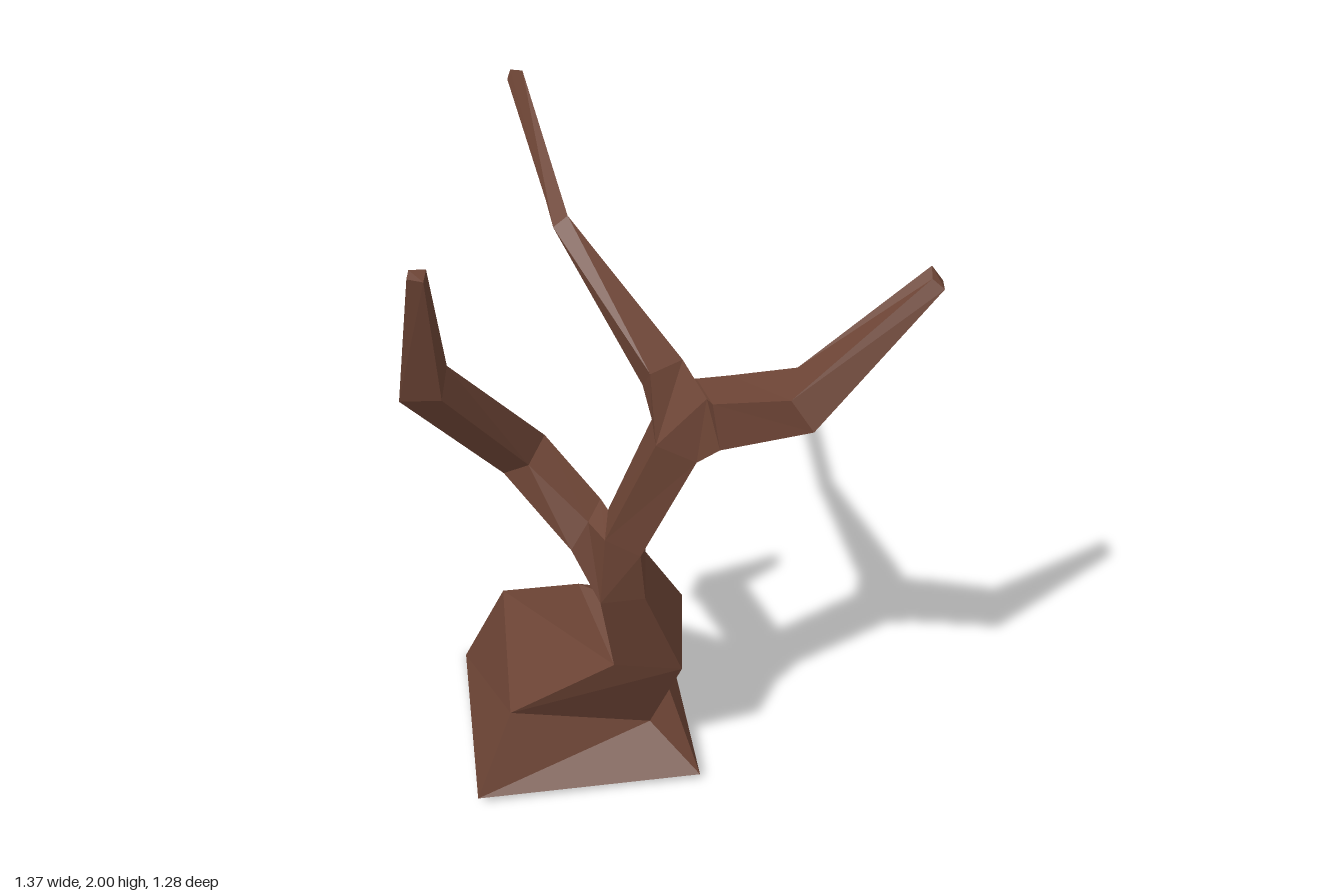
import * as THREE from 'three';

const bark = new THREE.MeshStandardMaterial({ color: 0x6b4334, flatShading: true });

// Skins a series of four-cornered rings; rings run counterclockwise seen from the tip.
// extra: loose triangles; open: [segment, side] left out where a branch grows.
function limb(name, rings, { capStart = false, capEnd = true, extra = [], open = null } = {}) {
  const pos = [];
  const same = (p, q) => p.every((v, i) => v === q[i]);
  const tri = (a, b, c) => {
    if (!same(a, b) && !same(b, c) && !same(a, c)) pos.push(...a, ...b, ...c);
  };
  const quad = (a, b, c, d) => { tri(a, b, c); tri(a, c, d); };
  for (let s = 0; s < rings.length - 1; s++) {
    for (let i = 0; i < 4; i++) {
      if (open && open[0] === s && open[1] === i) continue;
      const j = (i + 1) % 4;
      quad(rings[s][i], rings[s][j], rings[s + 1][j], rings[s + 1][i]);
    }
  }
  if (capStart) quad(...[...rings[0]].reverse());
  if (capEnd) quad(...rings[rings.length - 1]);
  extra.forEach((t) => tri(...t));
  const geo = new THREE.BufferGeometry();
  geo.setAttribute('position', new THREE.Float32BufferAttribute(pos, 3));
  geo.computeVertexNormals();
  const mesh = new THREE.Mesh(geo, bark);
  mesh.name = name;
  return mesh;
}

export function createModel() {
  const tree = new THREE.Group();
  tree.name = 'bareTree';

  // Trunk rings: front -x, front +x, back +x, back -x
  const foot = [[-0.57, 0.03, 0.335], [0.125, 0.03, 0.3], [0.09, 0.002, -0.39], [-0.6, 0, -0.355]];
  const flare = [[-0.455, 0.255, 0.2], [-0.02, 0.145, 0.165], [-0.02, 0.275, -0.265], [-0.458, 0.385, -0.228]];
  const waist = [[-0.14, 0.53, 0.31], [0.06, 0.51, 0.325], [0.082, 0.617, 0.115], [-0.145, 0.637, 0.115]];
  const hump = [waist[0], waist[1], waist[2], [-0.225, 0.61, 0.025]];
  const neck = [[-0.18, 0.83, 0.375], [-0.055, 0.855, 0.395], [-0.04, 0.905, 0.25], [-0.165, 0.875, 0.235]];
  const fork = [[-0.165, 1.07, 0.39], [-0.07, 1.03, 0.42], [-0.048, 1.03, 0.312], [-0.148, 1.095, 0.287]];
  const top = [[-0.03, 1.41, 0.432], [0.075, 1.365, 0.455], [0.09, 1.375, 0.355], [-0.03, 1.42, 0.325]];

  // Crotch edge shared by the two upper branches
  const crotchF = [0.1, 1.555, 0.44], crotchB = [0.085, 1.552, 0.34];

  tree.add(limb('trunk', [foot, flare, hump, waist, neck, fork, top], {
    capStart: true, capEnd: false, open: [4, 3],
    extra: [[top[0], top[1], crotchF], [top[2], top[3], crotchB]],
  }));

  // Low side branch
  tree.add(limb('lowBranch', [
    [neck[3], neck[0], fork[0], fork[3]],
    [[-0.235, 0.98, 0.235], [-0.255, 0.985, 0.32], [-0.205, 1.07, 0.305], [-0.165, 1.095, 0.235]],
    [[-0.385, 1.17, 0.057], [-0.43, 1.14, 0.15], [-0.36, 1.2, 0.2], [-0.31, 1.235, 0.11]],
    [[-0.655, 1.55, 0.255], [-0.685, 1.537, 0.35], [-0.575, 1.55, 0.375], [-0.558, 1.6, 0.29]],
    [[-0.625, 1.97, 0.43], [-0.63, 1.96, 0.457], [-0.59, 1.957, 0.47], [-0.583, 1.967, 0.427]],
  ]));

  // Long branch reaching backwards
  tree.add(limb('backBranch', [
    [top[3], top[0], crotchF, crotchB],
    [[-0.05, 1.5, 0.28], [-0.035, 1.57, 0.335], [0.055, 1.577, 0.285], [0.045, 1.5, 0.245]],
    [[-0.25, 1.762, -0.09], [-0.258, 1.785, -0.08], [-0.217, 1.807, -0.1], [-0.207, 1.767, -0.11]],
    [[-0.355, 1.97, -0.63], [-0.345, 1.997, -0.635], [-0.31, 1.99, -0.64], [-0.32, 1.957, -0.635]],
  ]));

  // Forward-curving upper branch
  tree.add(limb('sideBranch', [
    [top[1], top[2], crotchB, crotchF],
    [[0.13, 1.43, 0.495], [0.18, 1.46, 0.41], [0.165, 1.59, 0.39], [0.11, 1.565, 0.48]],
    [[0.342, 1.575, 0.64], [0.375, 1.565, 0.555], [0.318, 1.68, 0.505], [0.287, 1.65, 0.605]],
    [[0.68, 1.867, 0.475], [0.683, 1.872, 0.44], [0.655, 1.907, 0.425], [0.65, 1.89, 0.46]],
  ]));

  return tree;
}
